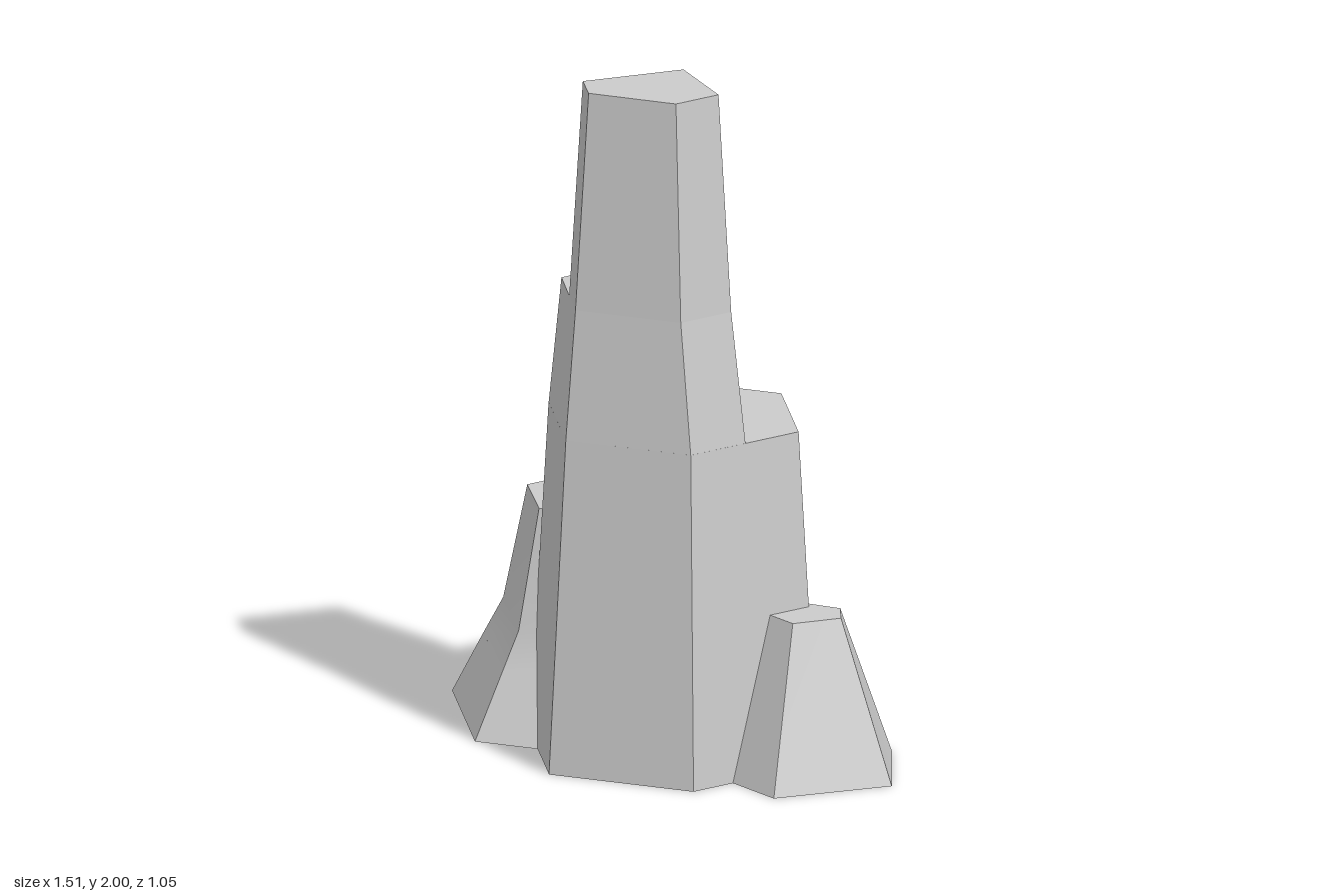
import * as THREE from 'three';
import { toCreasedNormals } from 'three/addons/utils/BufferGeometryUtils.js';

const material = new THREE.MeshStandardMaterial({ color: 0xcccccc });

// Regular polygon outline in the ground plane, first corner pointing back (-z)
function ngon(sides, cx, cz, r) {
  return Array.from({ length: sides }, (_, i) => {
    const a = (i / sides) * Math.PI * 2;
    return [cx + r * Math.sin(a), cz - r * Math.cos(a)];
  });
}

// Joins outlines of [x, z] corners stacked at rising heights: levels = [[y, outline], ...]
function rock(name, levels, withBottom = false) {
  const pos = [];
  const rings = levels.map(([y, outline]) => {
    const pts = outline.map(([x, z]) => new THREE.Vector2(x, z));
    if (THREE.ShapeUtils.area(pts) < 0) pts.reverse();
    return { y, pts };
  });
  const put = (ring, i) => {
    const p = ring.pts[i % ring.pts.length];
    pos.push(p.x, ring.y, p.y);
  };
  for (let l = 0; l + 1 < rings.length; l++) {
    const a = rings[l], b = rings[l + 1];
    for (let i = 0; i < a.pts.length; i++) {
      put(a, i); put(b, i); put(a, i + 1);
      put(b, i); put(b, i + 1); put(a, i + 1);
    }
  }
  const cap = (ring, up) => {
    for (const [i, j, k] of THREE.ShapeUtils.triangulateShape(ring.pts, [])) {
      put(ring, i); put(ring, up ? k : j); put(ring, up ? j : k);
    }
  };
  cap(rings[rings.length - 1], true);
  if (withBottom) cap(rings[0], false);

  const geo = new THREE.BufferGeometry();
  geo.setAttribute('position', new THREE.Float32BufferAttribute(pos, 3));
  const mesh = new THREE.Mesh(toCreasedNormals(geo, 0.4), material);
  mesh.name = name;
  return mesh;
}

export function createModel() {
  const model = new THREE.Group();
  model.name = 'rockSpire';

  // Central column: full hexagon, then two steps that break away at the back and side
  const spire = new THREE.Group();
  spire.name = 'centralSpire';
  spire.add(
    rock('spireBase', [
      [0, ngon(6, 0.073, 0.08, 0.445)],
      [0.98, ngon(6, 0.073, 0.08, 0.385)],
    ], true),
    rock('spireMiddle', [
      [0.98, [[0.045, -0.03], [0.406, 0.077], [0.406, 0.2725], [0.073, 0.465], [-0.26, 0.2725], [-0.26, 0.077]]],
      [1.36, [[0.048, 0.0], [0.356, 0.09], [0.356, 0.27], [0.075, 0.432], [-0.21, 0.265], [-0.21, 0.1]]],
    ]),
    rock('spireTop', [
      [1.36, [[0.048, 0.0], [0.356, 0.09], [0.356, 0.27], [0.075, 0.432], [-0.053, 0.357]]],
      [2, [[0.063, 0.037], [0.323, 0.11], [0.323, 0.262], [0.088, 0.395], [-0.018, 0.335]]],
    ]),
  );

  // Wide side rock: low ledge, terrace and a peak towards the front
  const wide = new THREE.Group();
  wide.name = 'wideRock';
  wide.add(
    rock('ledge', [
      [0, ngon(6, -0.315, -0.018, 0.512)],
      [0.185, ngon(6, -0.315, -0.012, 0.41)],
    ], true),
    rock('terrace', [
      [0.185, [[-0.395, -0.2], [-0.14, -0.33], [0.04, -0.22], [0.04, 0.1], [-0.335, 0.075]]],
      [0.31, [[-0.377, -0.18], [-0.12, -0.25], [-0.02, -0.19], [-0.02, 0.1], [-0.335, 0.065]]],
    ]),
    rock('peak', [
      [0.185, [[-0.67, 0.07], [-0.67, 0.193], [-0.315, 0.398], [0.04, 0.193], [0.04, -0.3], [-0.355, -0.02], [-0.335, 0.075]]],
      [0.3, [[-0.61, 0.07], [-0.61, 0.168], [-0.315, 0.338], [-0.02, 0.168], [-0.02, -0.25], [-0.355, -0.015], [-0.335, 0.073]]],
      [0.65, [[-0.525, 0.07], [-0.525, 0.147], [-0.315, 0.265], [-0.105, 0.147], [-0.105, -0.13], [-0.357, 0.0], [-0.342, 0.07]]],
    ]),
  );

  // Small five-sided rock on the other side
  const small = rock('smallRock', [
    [0, ngon(5, 0.48, -0.085, 0.305).map(([x, z]) => [0.48 + (x - 0.48) * 0.95, z])],
    [0.465, [[0.5, -0.19], [0.58, -0.132], [0.54, 0.01], [0.42, 0.01], [0.38, -0.132]]],
  ], true);

  model.add(spire, wide, small);
  return model;
}
